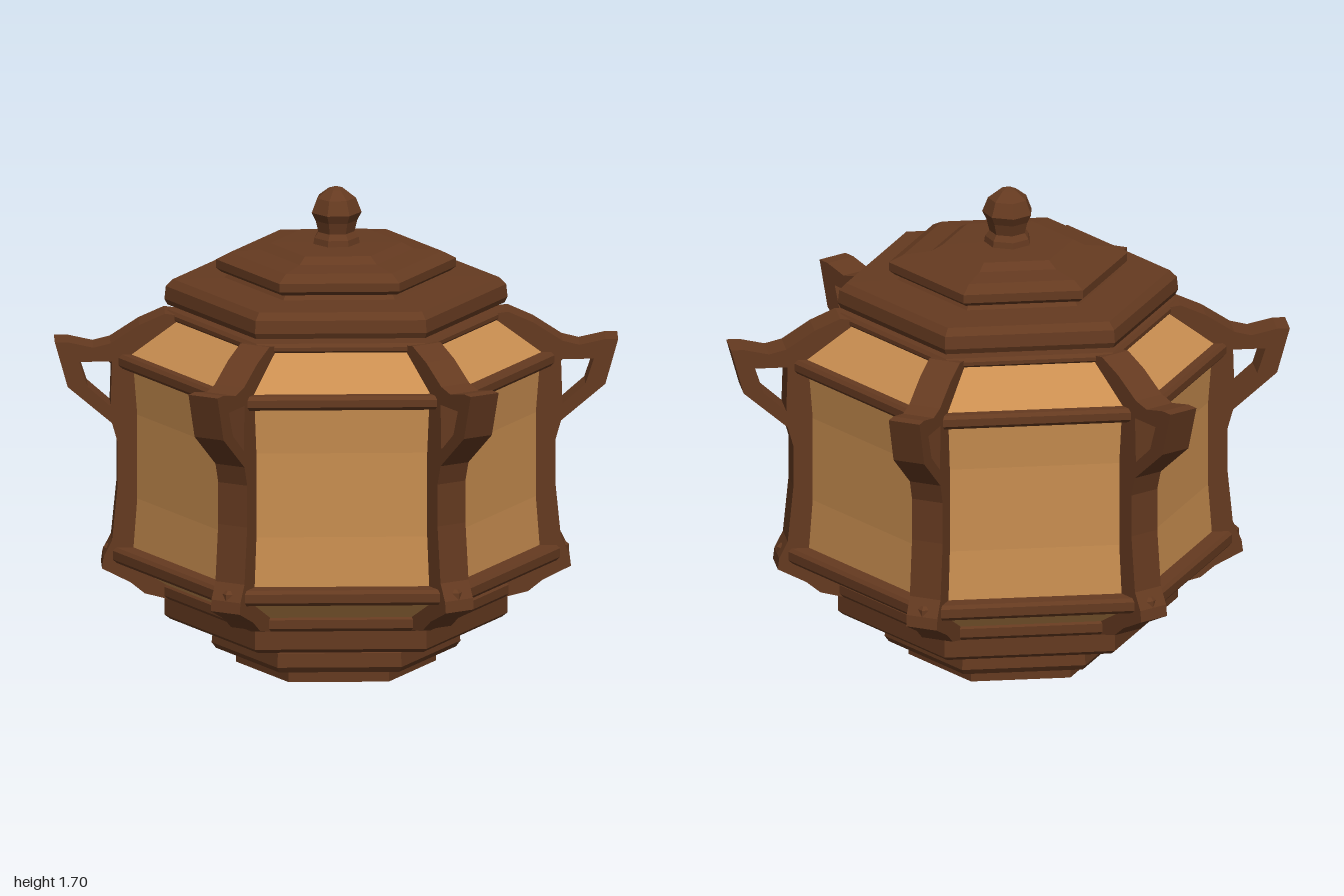
import * as THREE from 'three';

const wood = new THREE.MeshStandardMaterial({ color: 0x653a20, flatShading: true });
wood.name = 'dark wood';
const amber = new THREE.MeshStandardMaterial({ color: 0xc98e50, flatShading: true });
amber.name = 'amber glass';

// Hexagonal ring or shell turned from a [radius, y] profile, listed bottom to top on the outside
function hex(name, profile, material, segments = 6) {
  const points = profile.map(([r, y]) => new THREE.Vector2(r, y));
  const mesh = new THREE.Mesh(new THREE.LatheGeometry(points, segments, Math.PI / 6), material);
  mesh.name = name;
  return mesh;
}

// Closed hexagonal rail between two radii
function rail(name, rIn, rOut, y0, y1, bevel = 0.012) {
  return hex(name, [
    [rIn, y0], [rOut - bevel, y0], [rOut, y0 + bevel], [rOut, y1 - bevel],
    [rOut - bevel, y1], [rIn, y1], [rIn, y0],
  ], wood);
}

// Corner post with its bracket-shaped handle, drawn in the radius/height plane
function postGeometry() {
  const v = (list) => list.map(([x, y]) => new THREE.Vector2(x, y));
  const shape = new THREE.Shape(v([
    [0.59, 0.24], [0.67, 0.26], [0.72, 0.3], [0.82, 0.35], [0.815, 0.39], [0.785, 0.45],
    [0.765, 0.65], [0.765, 0.8], [0.785, 0.87], [0.94, 1.0], [0.985, 1.16], [0.94, 1.16],
    [0.85, 1.14], [0.79, 1.155], [0.69, 1.22], [0.6, 1.26], [0.53, 1.25], [0.54, 1.2],
    [0.69, 1.08], [0.67, 0.75], [0.69, 0.42], [0.55, 0.3],
  ]));
  shape.holes.push(new THREE.Path(v([[0.79, 0.93], [0.785, 1.09], [0.9, 1.09], [0.87, 1.0]])));
  const width = 0.115;
  const geometry = new THREE.ExtrudeGeometry(shape, { depth: width, bevelEnabled: false });
  geometry.translate(0, 0, -width / 2);
  return geometry;
}

export function createModel() {
  const model = new THREE.Group();
  model.name = 'hexagonalLantern';
  const body = new THREE.Group();
  body.name = 'lanternBody';
  body.scale.z = 1.13; // the hexagon is a little deeper than regular
  model.add(body);

  // Stepped foot
  body.add(hex('foot', [
    [0, 0], [0.35, 0], [0.35, 0.04], [0.42, 0.05], [0.435, 0.07], [0.43, 0.12],
    [0.4, 0.13], [0.33, 0.135], [0.33, 0.16],
  ], wood));
  body.add(hex('baseRing', [
    [0.32, 0.155], [0.58, 0.155], [0.6, 0.17], [0.6, 0.24], [0.57, 0.25], [0.5, 0.25],
  ], wood));

  // Glass panels
  body.add(hex('lowerPanels', [[0.56, 0.25], [0.77, 0.375]], amber));
  body.add(hex('mainPanels', [[0.745, 0.4], [0.73, 0.6], [0.73, 0.9], [0.745, 1.09]], amber));
  body.add(hex('upperPanels', [[0.77, 1.1], [0.56, 1.255]], amber));

  // Horizontal rails between the panels
  body.add(rail('lowerTrim', 0.52, 0.635, 0.24, 0.295));
  body.add(rail('lowerRail', 0.7, 0.815, 0.37, 0.425));
  body.add(rail('upperRail', 0.7, 0.795, 1.065, 1.115));
  body.add(rail('upperTrim', 0.5, 0.6, 1.225, 1.262));

  // Six corner posts with handles
  const geometry = postGeometry();
  for (let i = 0; i < 6; i++) {
    const post = new THREE.Mesh(geometry, wood);
    post.name = 'cornerPost' + (i + 1);
    post.rotation.y = (i * Math.PI) / 3;
    body.add(post);
  }

  // Two-tier lid
  body.add(hex('lidRing', [
    [0, 1.262], [0.5, 1.262], [0.53, 1.275], [0.59, 1.28], [0.6, 1.3], [0.595, 1.345],
    [0.57, 1.37], [0.39, 1.375], [0.37, 1.395],
  ], wood));
  body.add(hex('lidCap', [
    [0.36, 1.39], [0.4, 1.395], [0.42, 1.41], [0.42, 1.44], [0.37, 1.465],
    [0.27, 1.475], [0.23, 1.497], [0, 1.5],
  ], wood));

  // Bud-shaped finial
  body.add(hex('finial', [
    [0.085, 1.49], [0.08, 1.52], [0.065, 1.54], [0.075, 1.58], [0.09, 1.61],
    [0.07, 1.66], [0.03, 1.69], [0, 1.7],
  ], wood, 7));

  return model;
}
